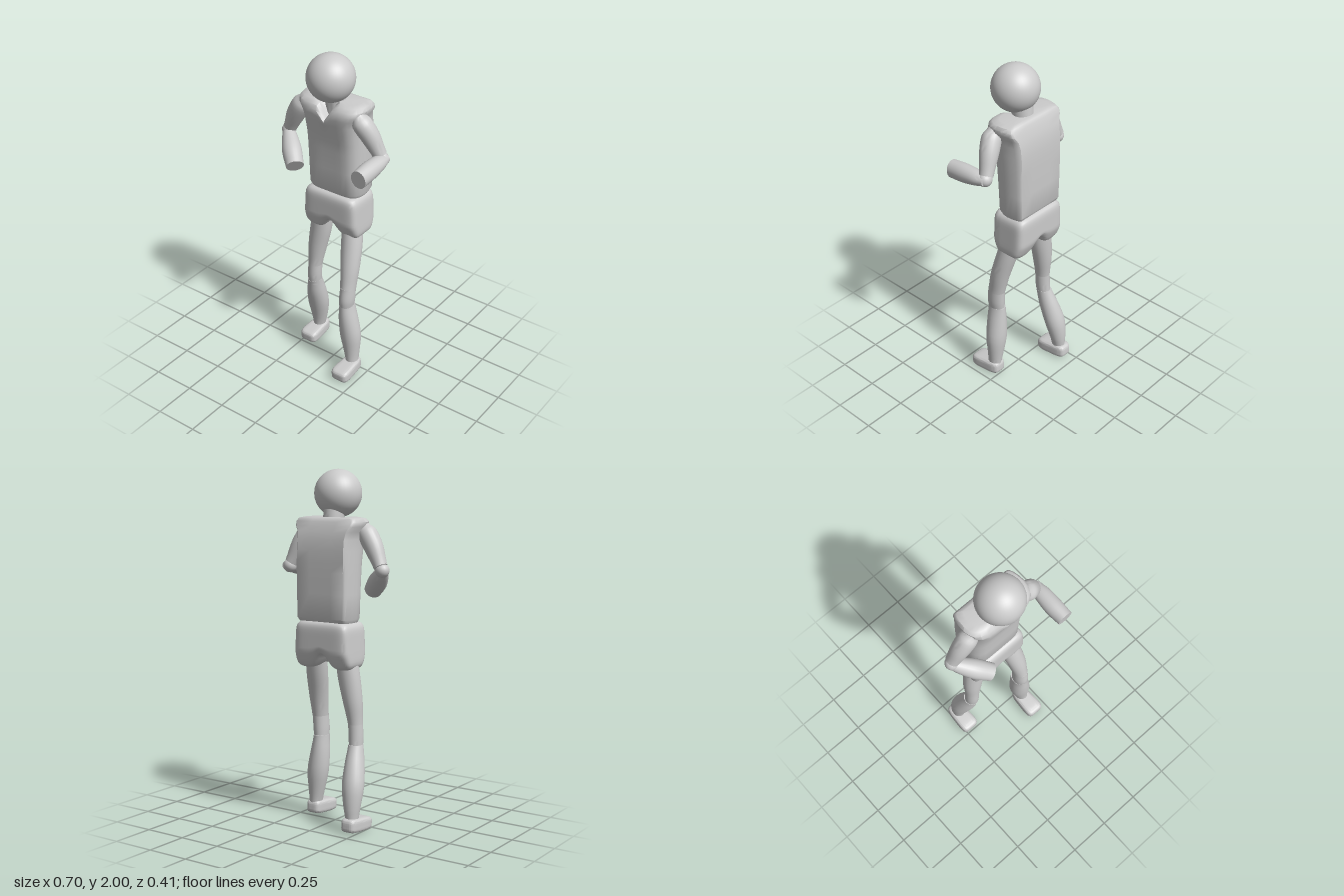
import * as THREE from 'three';
import { toCreasedNormals } from 'three/addons/utils/BufferGeometryUtils.js';

const material = new THREE.MeshStandardMaterial({ color: 0xcccccc });
const up = new THREE.Vector3(0, 1, 0);

function part(name, geometry) {
  const mesh = new THREE.Mesh(geometry, material);
  mesh.name = name;
  return mesh;
}

// Skin over equal-length rings of points, capped at both ends.
function loft(rings) {
  const n = rings[0].length, last = rings.length - 1;
  const points = rings.flat(), index = [];
  for (let i = 0; i < last; i++) {
    for (let j = 0; j < n; j++) {
      const a = i * n + j, b = i * n + (j + 1) % n;
      index.push(a, b, b + n, a, b + n, a + n);
    }
  }
  for (const r of [0, last]) {
    const centre = new THREE.Vector3();
    rings[r].forEach(p => centre.addScaledVector(p, 1 / n));
    const c = points.push(centre) - 1;
    for (let j = 0; j < n; j++) {
      const a = r * n + j, b = r * n + (j + 1) % n;
      if (r === 0) index.push(c, b, a); else index.push(c, a, b);
    }
  }
  const g = new THREE.BufferGeometry().setFromPoints(points);
  g.setIndex(index);
  return toCreasedNormals(g, 0.75);
}

// Limb segment: rows of [x, y, z, radius across, radius in depth], smoothed.
// Rings lie square to the axis, or to the line between the ends if none is given.
function limb(name, rows, axis) {
  const path = new THREE.CatmullRomCurve3(rows.map(r => new THREE.Vector3(r[0], r[1], r[2])));
  const size = new THREE.SplineCurve(rows.map(r => new THREE.Vector2(r[3], r[4])));
  const t = axis || path.getPoint(1).sub(path.getPoint(0)).normalize();
  const u = new THREE.Vector3(1, 0, 0).addScaledVector(t, -t.x).normalize();
  const v = new THREE.Vector3().crossVectors(t, u);
  const steps = 12, sides = 24, rings = [];
  for (let i = 0; i <= steps; i++) {
    const c = path.getPoint(i / steps), s = size.getPoint(i / steps);
    rings.push(Array.from({ length: sides }, (_, j) => {
      const a = j / sides * Math.PI * 2;
      return c.clone().addScaledVector(u, Math.cos(a) * s.x).addScaledVector(v, Math.sin(a) * s.y);
    }));
  }
  return part(name, loft(rings));
}

// Box with soft edges; rule(p) shapes points in the range -1..1.
function softBox(name, power, rule) {
  const g = new THREE.BoxGeometry(2, 2, 2, 24, 16, 16);
  const pos = g.attributes.position, p = new THREE.Vector3();
  for (let i = 0; i < pos.count; i++) {
    p.fromBufferAttribute(pos, i);
    const len = Math.abs(p.x) ** power + Math.abs(p.y) ** power + Math.abs(p.z) ** power;
    p.multiplyScalar(len ** (-1 / power));
    rule(p);
    pos.setXYZ(i, p.x, p.y, p.z);
  }
  return part(name, toCreasedNormals(g, 0.8));
}

function torso() {
  // Half cross-section from front centre to back: [width share, depth share]
  const half = [[0, 1], [0.12, 1], [0.24, 1], [0.42, 1], [0.62, 0.99], [0.78, 0.94], [0.9, 0.84],
    [0.97, 0.7], [1, 0.52], [0.99, 0.32], [0.95, 0.14], [0.91, 0.04], [0.86, 0], [0.4, 0], [0, 0]];
  const section = [...half, ...half.slice(1, -1).reverse().map(([x, z]) => [-x, z])];
  // [height, half width, back, front]
  const rows = [[1.165, 0.165, -0.145, 0.02], [1.185, 0.175, -0.155, 0.03], [1.32, 0.176, -0.158, 0.038],
    [1.44, 0.178, -0.158, 0.045], [1.5, 0.178, -0.158, 0.052], [1.56, 0.178, -0.156, 0.066],
    [1.62, 0.179, -0.15, 0.08], [1.66, 0.185, -0.14, 0.088], [1.69, 0.205, -0.13, 0.088],
    [1.715, 0.208, -0.12, 0.078], [1.733, 0.195, -0.11, 0.058], [1.74, 0.16, -0.09, 0.03]];
  const rings = rows.map(([y, w, back, front]) => section.map(([sx, sz]) => {
    // V-shaped neckline
    const notch = sz > 0.9 ? Math.max(0, 1 - Math.abs(sx * w) / 0.055) : 0;
    const drop = notch * 0.095 * Math.max(0, (y - 1.6) / 0.14);
    return new THREE.Vector3(-0.006 + sx * w, y - drop, back + (front - back) * sz);
  }));
  return part('torso', loft(rings));
}

function hips() {
  return softBox('hips', 7, p => {
    const low = (1 - p.y) / 2;
    const taper = 1 - 0.3 * Math.max(0, low - 0.65) / 0.35;
    p.x = -0.007 + p.x * (0.172 + 0.014 * low);
    p.z = -0.06 + p.z * 0.112 * taper;
    // arch between the thighs
    const across = (p.x + 0.008) / 0.048;
    p.y = 1.035 + p.y * 0.135 + 0.085 * Math.exp(-across * across) * low ** 3;
  });
}

function foot(name, x, z) {
  const mesh = softBox(name, 4.5, p => {
    const toe = (p.z + 1) / 2;
    p.x *= 0.046 + 0.014 * toe;
    p.y *= p.y > 0 ? 0.045 - 0.008 * toe : 0.038;
    p.z *= 0.099;
  });
  mesh.position.set(x, 0.042, z);
  mesh.rotation.x = 0.06;
  return mesh;
}

function leg(side, thigh, knee, calf, footSpot) {
  const g = new THREE.Group();
  g.name = side + 'Leg';
  g.add(limb(side + 'Thigh', thigh, up), limb(side + 'Knee', knee, up),
    limb(side + 'Calf', calf, up), foot(side + 'Foot', ...footSpot));
  return g;
}

function arm(side, upper, elbow, fore) {
  const g = new THREE.Group();
  g.name = side + 'Arm';
  const joint = part(side + 'Elbow', new THREE.SphereGeometry(0.04, 20, 14));
  joint.position.set(...elbow);
  g.add(limb(side + 'UpperArm', upper), joint, limb(side + 'Forearm', fore));
  return g;
}

export function createModel() {
  const model = new THREE.Group();
  model.name = 'figure';

  const head = part('head', new THREE.SphereGeometry(0.133, 40, 28));
  head.position.set(-0.003, 1.867, 0.024);
  const neck = limb('neck', [[-0.005, 1.6, -0.03, 0.05, 0.06], [-0.005, 1.7, -0.025, 0.056, 0.062],
    [-0.005, 1.82, -0.01, 0.06, 0.065]], up);
  model.add(head, neck, torso(), hips());

  // Legs, each segment listed from the bottom up; the left one steps forward
  model.add(leg('left',
    [[0.136, 0.595, 0.047, 0.044, 0.053], [0.13, 0.72, 0.022, 0.055, 0.057],
      [0.116, 0.85, -0.012, 0.062, 0.06], [0.1, 0.98, -0.045, 0.06, 0.06]],
    [[0.13, 0.455, 0.052, 0.038, 0.05], [0.134, 0.52, 0.054, 0.043, 0.055], [0.136, 0.605, 0.048, 0.042, 0.052]],
    [[0.166, 0.07, 0.042, 0.036, 0.042], [0.16, 0.14, 0.04, 0.046, 0.047], [0.15, 0.26, 0.04, 0.063, 0.06],
      [0.138, 0.38, 0.046, 0.055, 0.06], [0.13, 0.48, 0.05, 0.041, 0.055]],
    [0.165, 0.093]));
  model.add(leg('right',
    [[-0.165, 0.595, -0.04, 0.042, 0.044], [-0.152, 0.72, -0.048, 0.056, 0.054],
      [-0.132, 0.85, -0.054, 0.065, 0.058], [-0.115, 0.98, -0.058, 0.062, 0.06]],
    [[-0.172, 0.455, -0.045, 0.038, 0.042], [-0.169, 0.52, -0.04, 0.041, 0.044], [-0.165, 0.605, -0.04, 0.041, 0.043]],
    [[-0.21, 0.07, -0.138, 0.035, 0.04], [-0.206, 0.14, -0.134, 0.047, 0.048], [-0.198, 0.26, -0.112, 0.063, 0.062],
      [-0.184, 0.38, -0.075, 0.054, 0.06], [-0.172, 0.48, -0.045, 0.041, 0.047]],
    [-0.212, -0.103]));

  // Bent arms: shoulder to elbow, then elbow to the flat-ended wrist
  model.add(arm('left',
    [[0.165, 1.695, 0.02, 0.03, 0.035], [0.19, 1.655, 0.015, 0.054, 0.054],
      [0.235, 1.58, -0.005, 0.053, 0.052], [0.283, 1.475, -0.028, 0.038, 0.04]],
    [0.293, 1.457, -0.028],
    [[0.303, 1.458, -0.045, 0.033, 0.028], [0.302, 1.452, 0.02, 0.046, 0.042],
      [0.3, 1.442, 0.11, 0.051, 0.053], [0.302, 1.434, 0.2, 0.046, 0.053]]));
  model.add(arm('right',
    [[-0.18, 1.695, 0.01, 0.03, 0.035], [-0.205, 1.655, 0.008, 0.054, 0.054],
      [-0.255, 1.575, 0.002, 0.053, 0.052], [-0.305, 1.475, -0.008, 0.038, 0.04]],
    [-0.312, 1.455, -0.004],
    [[-0.325, 1.46, -0.012, 0.03, 0.03], [-0.288, 1.428, 0.022, 0.043, 0.043],
      [-0.23, 1.382, 0.078, 0.055, 0.054], [-0.165, 1.332, 0.136, 0.05, 0.05]]));
  return model;
}
